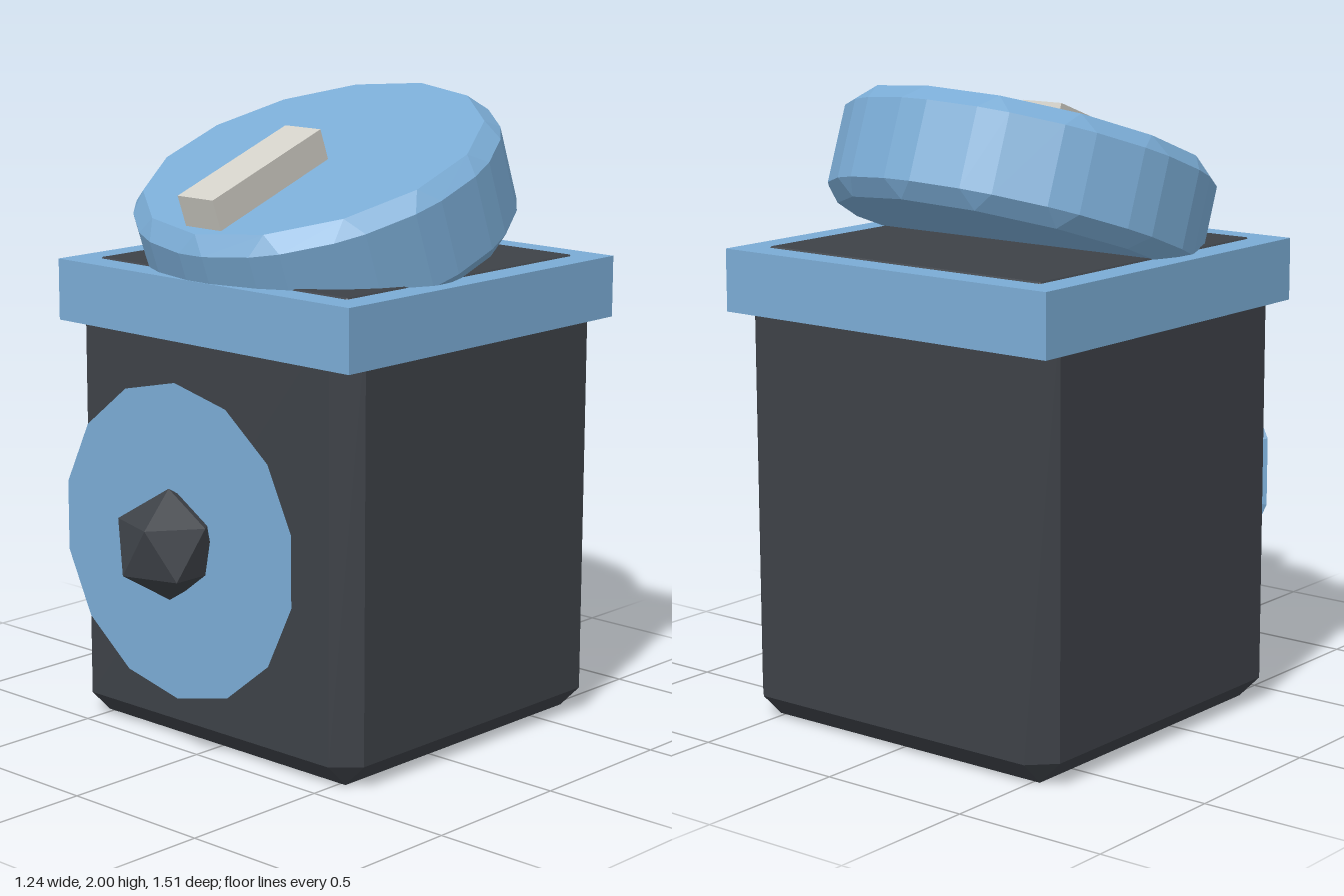
import * as THREE from 'three';
import { ConvexGeometry } from 'three/addons/geometries/ConvexGeometry.js';

function makeMaterial(name, color) {
  const m = new THREE.MeshStandardMaterial({ color });
  m.name = name;
  return m;
}

function makeMesh(name, geometry, material, x = 0, y = 0, z = 0) {
  const mesh = new THREE.Mesh(geometry, material);
  mesh.name = name;
  mesh.position.set(x, y, z);
  return mesh;
}

// Separate the faces so each one is shaded flat
function faceted(geometry) {
  const g = geometry.index ? geometry.toNonIndexed() : geometry;
  g.computeVertexNormals();
  return g;
}

// Upright prism with every edge chamfered by d; a is the distance from axis to side
function chamferedPrism(sides, a, height, d, firstAngle) {
  const step = (Math.PI * 2) / sides;
  const cornerRadius = 1 / Math.cos(step / 2);

  // Two points per corner: split on the sides, doubled on the caps
  const ring = (apothem, cut, y) => {
    const points = [];
    for (let i = 0; i < sides; i++) {
      const t = firstAngle + i * step;
      const r = apothem * cornerRadius;
      for (const s of [-1, 1]) {
        const e = t + s * (Math.PI / 2 + step / 2); // direction along the side
        points.push(new THREE.Vector3(
          r * Math.sin(t) + cut * Math.sin(e), y, r * Math.cos(t) + cut * Math.cos(e)));
      }
    }
    return points;
  };

  const h = height / 2;
  const rings = [ring(a - d, 0, -h), ring(a, d, d - h), ring(a, d, h - d), ring(a - d, 0, h)];
  const positions = [];
  const tri = (p, q, r) => {
    if (new THREE.Triangle(p, q, r).getArea() < 1e-8) return;
    for (const v of [p, q, r]) positions.push(v.x, v.y, v.z);
  };
  const n = sides * 2;
  const bottom = new THREE.Vector3(0, -h, 0);
  const top = new THREE.Vector3(0, h, 0);
  for (let i = 0; i < n; i++) {
    const j = (i + 1) % n;
    for (let k = 0; k < 3; k++) {
      const lo = rings[k], hi = rings[k + 1];
      tri(lo[i], lo[j], hi[j]);
      tri(lo[i], hi[j], hi[i]);
    }
    tri(bottom, rings[0][j], rings[0][i]);
    tri(top, rings[3][i], rings[3][j]);
  }
  const g = new THREE.BufferGeometry();
  g.setAttribute('position', new THREE.Float32BufferAttribute(positions, 3));
  return faceted(g);
}

// Icosahedron standing on a corner
function knobGeometry(r) {
  const points = [new THREE.Vector3(0, r, 0), new THREE.Vector3(0, -r, 0)];
  const y = r / Math.sqrt(5);
  for (let i = 0; i < 5; i++) {
    const t = (i * Math.PI * 2) / 5;
    const x = 2 * y * Math.cos(t), z = 2 * y * Math.sin(t);
    points.push(new THREE.Vector3(x, y, z), new THREE.Vector3(-x, -y, -z));
  }
  return faceted(new ConvexGeometry(points));
}

export function createModel() {
  const blue = makeMaterial('blue', 0x7aabd4);
  const charcoal = makeMaterial('charcoal', 0x3d4147);
  const paleGrey = makeMaterial('paleGrey', 0xd2d0c8);

  const model = new THREE.Group();
  model.name = 'canister';
  const zBody = -0.136;

  // Body, its top face just proud of the rim
  model.add(makeMesh('body', chamferedPrism(4, 0.595, 1.49, 0.075, Math.PI / 4),
    charcoal, 0, 0.745, zBody));

  // Square rim
  model.add(makeMesh('rim', new THREE.BoxGeometry(1.236, 0.195, 1.236), blue, 0, 1.388, zBody));

  // Flared dial on the front, with a faceted knob
  const dial = new THREE.CylinderGeometry(0.495, 0.295, 0.15, 14).rotateX(Math.PI / 2);
  model.add(makeMesh('dial', faceted(dial), blue, 0, 0.697, 0.505));
  model.add(makeMesh('knob', knobGeometry(0.174), charcoal, 0, 0.697, 0.608));

  // Tilted round lid and its handle
  const lid = new THREE.Group();
  lid.name = 'lid';
  lid.position.set(0, 1.655, -0.081);
  lid.rotation.x = THREE.MathUtils.degToRad(20);
  lid.add(makeMesh('lidDisc', chamferedPrism(14, 0.58, 0.344, 0.05, 0), blue));
  lid.add(makeMesh('handle', new THREE.BoxGeometry(0.148, 0.14, 0.497), paleGrey, 0, 0.203, 0.256));
  model.add(lid);

  return model;
}
